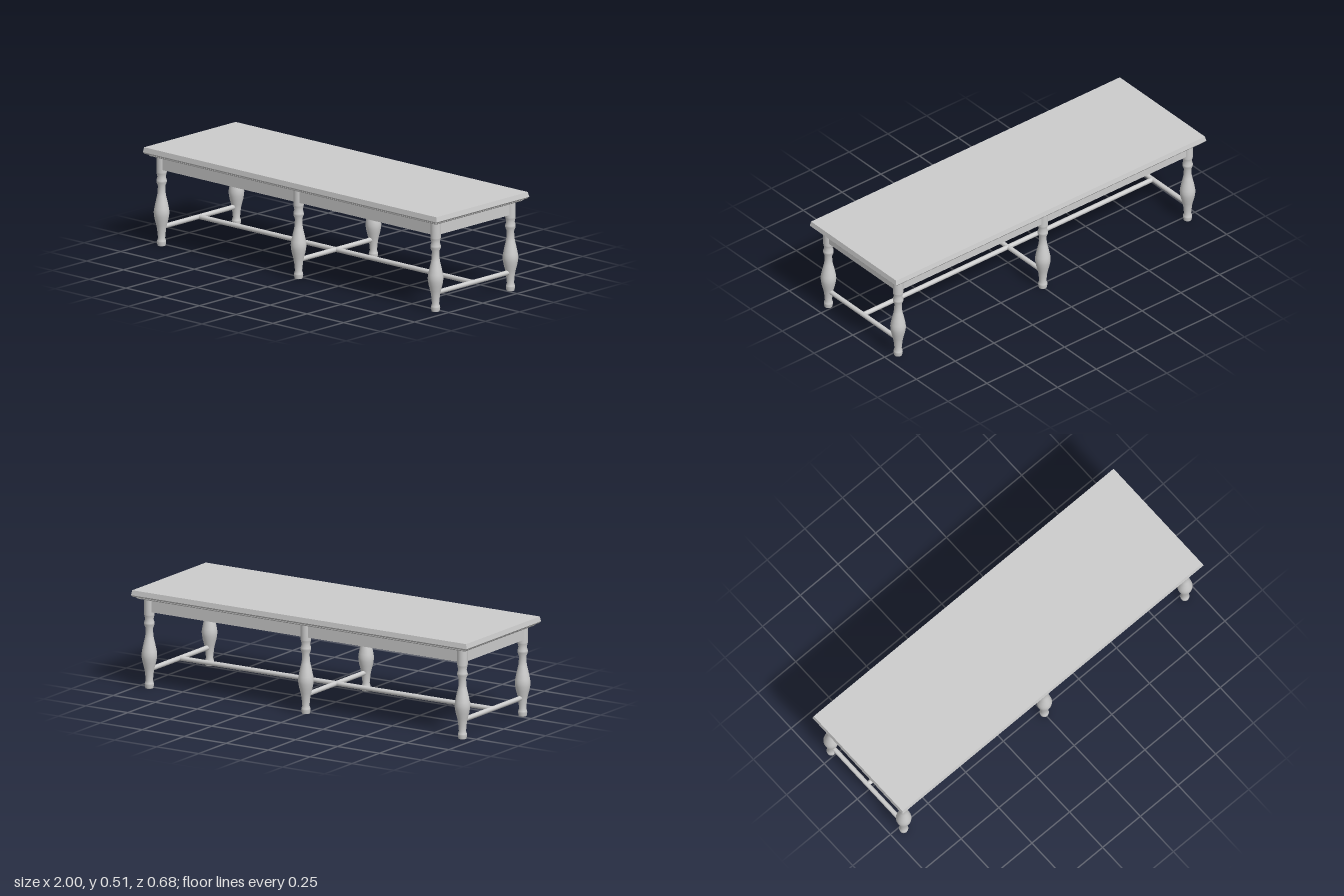
import * as THREE from 'three';

const grey = new THREE.MeshStandardMaterial({ color: 0xcccccc });
grey.name = 'plain grey';

// Solid slab lofted through rectangles [y, halfX, halfZ], listed bottom to top
function slab(levels) {
  const pos = [];
  const rings = levels.map(([y, x, z]) => [[x, y, z], [x, y, -z], [-x, y, -z], [-x, y, z]]);
  const quad = (a, b, c, d) => pos.push(...a, ...b, ...c, ...a, ...c, ...d);
  for (let i = 0; i < rings.length - 1; i++) {
    for (let k = 0; k < 4; k++) {
      const n = (k + 1) % 4;
      quad(rings[i][k], rings[i][n], rings[i + 1][n], rings[i + 1][k]);
    }
  }
  const t = rings[rings.length - 1], b = rings[0];
  quad(t[0], t[1], t[2], t[3]);
  quad(b[3], b[2], b[1], b[0]);
  const g = new THREE.BufferGeometry();
  g.setAttribute('position', new THREE.Float32BufferAttribute(pos, 3));
  g.computeVertexNormals();
  return g;
}

export function createModel() {
  const model = new THREE.Group();
  model.name = 'longTable';
  const add = (name, geometry, x = 0, y = 0, z = 0) => {
    const mesh = new THREE.Mesh(geometry, grey);
    mesh.name = name;
    mesh.position.set(x, y, z);
    model.add(mesh);
    return mesh;
  };

  const legX = 0.933, legZ = 0.274;

  // Top with bevelled edges, and the moulding under it
  add('tableTop', slab([[0.473, 0.992, 0.333], [0.482, 1, 0.34], [0.507, 0.995, 0.335]]));
  add('moulding', slab([[0.461, 0.974, 0.314], [0.467, 0.98, 0.32], [0.474, 0.977, 0.317]]));

  // Apron boards between the legs
  const apronY = 0.4285, apronH = 0.067, apronT = 0.03;
  for (const s of [-1, 1]) {
    add('longApron', new THREE.BoxGeometry(legX * 2, apronH, apronT), 0, apronY, s * legZ);
    add('endApron', new THREE.BoxGeometry(apronT, apronH, legZ * 2), s * legX, apronY, 0);
  }

  // Turned legs
  const profile = [
    [0, 0], [0.02, 0], [0.0205, 0.002], [0.0235, 0.02], [0.0225, 0.026], [0.018, 0.04],
    [0.0205, 0.065], [0.0225, 0.085], [0.027, 0.107], [0.034, 0.133], [0.038, 0.155],
    [0.0395, 0.173], [0.037, 0.192], [0.031, 0.222], [0.0225, 0.258], [0.02, 0.275],
    [0.0185, 0.308], [0.0265, 0.328], [0.0265, 0.338], [0.021, 0.356], [0.0255, 0.374],
    [0.0265, 0.38], [0.0265, 0.462],
  ].map(([r, y]) => new THREE.Vector2(r, y));
  const legGeometry = new THREE.LatheGeometry(profile, 24);
  for (const x of [-legX, 0, legX]) {
    for (const z of [-legZ, legZ]) add('leg', legGeometry, x, 0, z);
  }

  // Round stretchers: one across each pair of legs, one along the middle
  const railY = 0.095, railR = 0.0122;
  for (const x of [-legX, 0, legX]) {
    add('crossStretcher', new THREE.CylinderGeometry(railR, railR, legZ * 2, 16), x, railY, 0)
      .rotation.x = Math.PI / 2;
  }
  add('longStretcher', new THREE.CylinderGeometry(railR, railR, legX * 2, 16), 0, railY, 0)
    .rotation.z = Math.PI / 2;

  return model;
}
